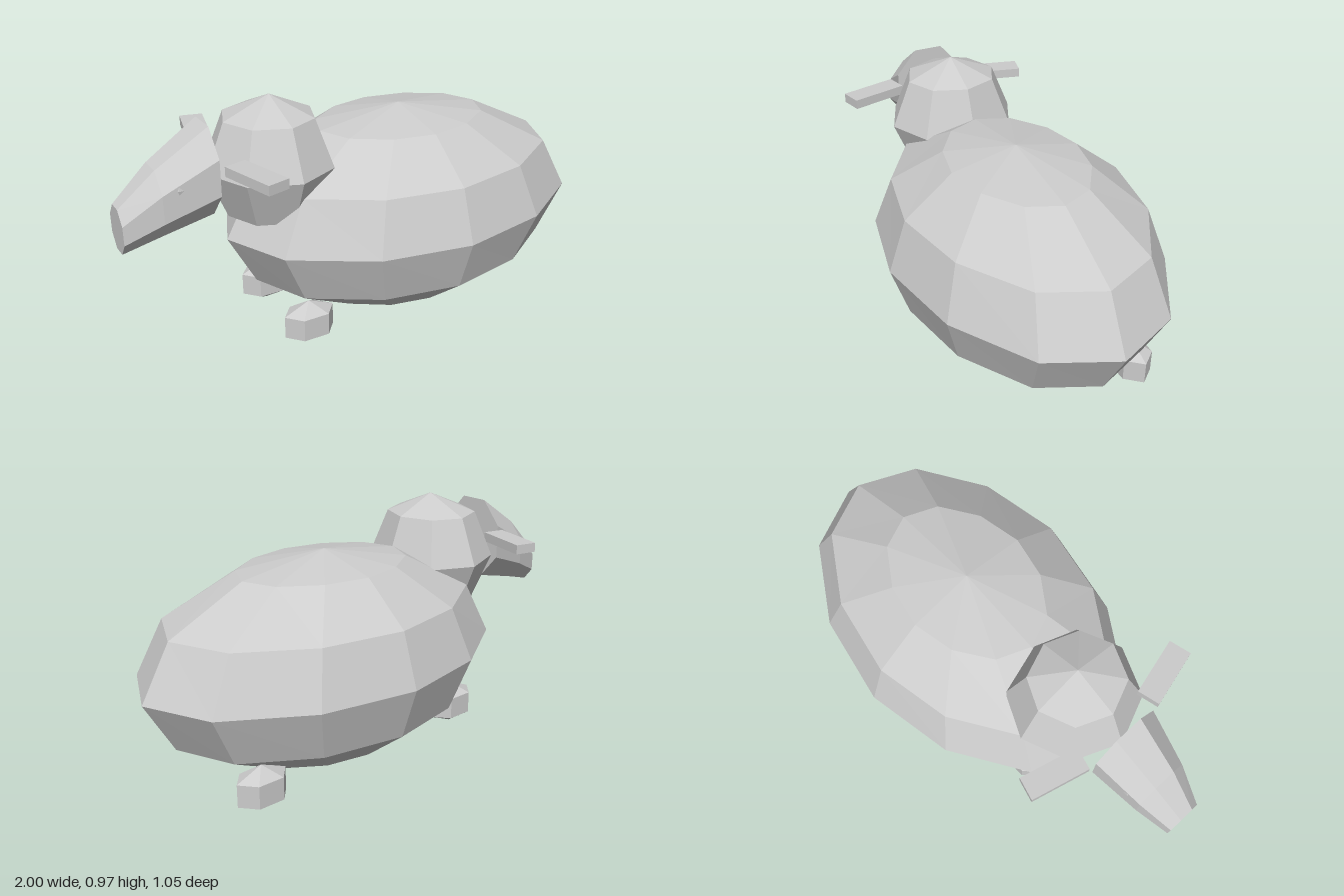
import * as THREE from 'three';

export function createModel() {
  const model = new THREE.Group();
  const grey = new THREE.MeshStandardMaterial({ color: 0xcccccc, flatShading: true });
  grey.name = 'light grey';

  function add(name, geometry, x, y, z) {
    const mesh = new THREE.Mesh(geometry, grey);
    mesh.name = name;
    mesh.position.set(x, y, z);
    model.add(mesh);
    return mesh;
  }

  // Moves every vertex of a geometry by a rule
  function reshape(geometry, rule) {
    const pos = geometry.attributes.position;
    const v = new THREE.Vector3();
    for (let i = 0; i < pos.count; i++) {
      v.fromBufferAttribute(pos, i);
      rule(v);
      pos.setXYZ(i, v.x, v.y, v.z);
    }
    geometry.computeVertexNormals();
    return geometry;
  }

  // Body: long faceted ellipsoid, a little fuller toward the rear end
  const body = reshape(new THREE.SphereGeometry(1, 12, 6), (v) => {
    const reach = v.x > 0 ? 0.81 : 0.775;
    v.x = Math.sign(v.x) * Math.pow(Math.abs(v.x), 1.1) * reach;
    v.y *= 0.42;
    v.z *= 0.527;
  });
  add('body', body, 0.19, 0.425, 0);

  // Head: eight-sided ball
  const head = reshape(new THREE.SphereGeometry(1, 8, 4), (v) => {
    v.x *= v.x > 0 ? 0.24 : 0.265;
    v.y *= 0.265;
    v.z *= 0.265;
  });
  add('head', head, -0.39, 0.715, 0.01);

  // Snout: octagonal taper sloping down, cut upright at both ends
  const stations = [
    { x: -0.655, y: 0.75, h: 0.17, w: 0.145 },
    { x: -0.86, y: 0.66, h: 0.13, w: 0.11 },
    { x: -1.0, y: 0.578, h: 0.088, w: 0.07 },
  ];
  const snout = new THREE.CylinderGeometry(1, 1, 2, 8, 2);
  snout.rotateY(Math.PI / 8).rotateZ(Math.PI / 2);
  const flat = Math.cos(Math.PI / 8);
  reshape(snout, (v) => {
    const s = stations[Math.round(1 - v.x)];
    v.set(s.x, s.y + (v.y / flat) * s.h, (v.z / flat) * s.w);
  });
  add('snout', snout, 0, 0, 0.005);

  // Ears and eyes, mirrored across the middle
  for (const side of [1, -1]) {
    const ear = add('ear', new THREE.BoxGeometry(0.09, 0.038, 0.235), -0.58, 0.79, 0.01 + side * 0.28);
    ear.rotation.y = side * 0.25;
    const eye = add('eye', new THREE.SphereGeometry(0.018, 6, 4), -0.795, 0.725, 0.005 + side * 0.112);
    eye.scale.set(1, 1.3, 0.7);
  }

  // Feet: small six-sided pods
  const feet = [
    ['frontFoot', -0.35, 0.21],
    ['frontFoot', -0.35, -0.18],
    ['rearFoot', 0.685, -0.25],
  ];
  for (const [name, x, z] of feet) {
    const foot = new THREE.SphereGeometry(1, 6, 3).scale(0.122, 0.09, 0.083);
    add(name, foot, x, 0.1, z);
  }

  return model;
}
